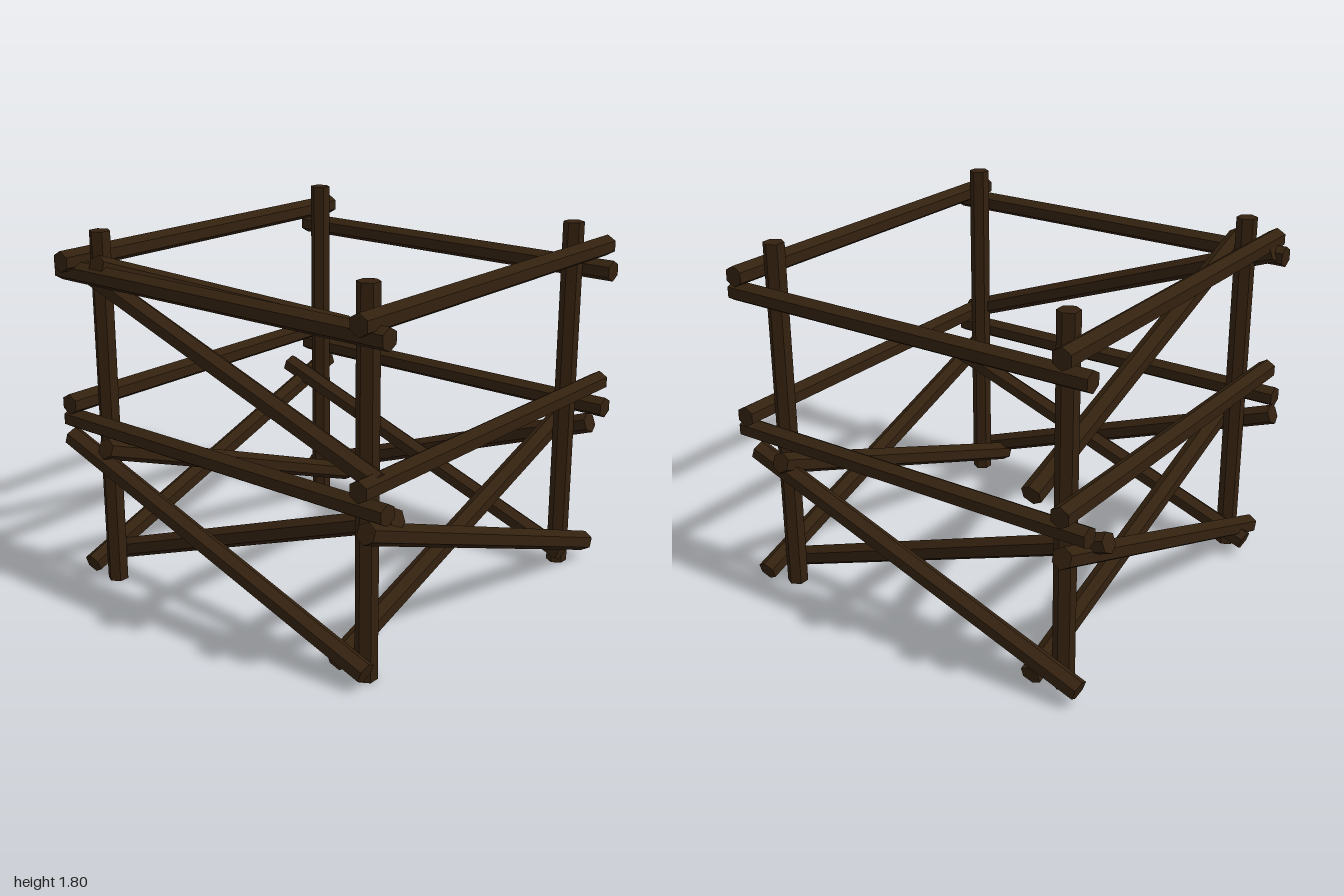
import * as THREE from 'three';

const RADIUS = 0.052;

export function createModel() {
  const model = new THREE.Group();
  model.name = 'logFrame';
  const wood = new THREE.MeshStandardMaterial({ color: 0x33210f, flatShading: true });

  // Six-sided log from a to b, with one ridge turned towards the given direction
  function log(name, a, b, ridge = [0, 1, 0]) {
    const start = new THREE.Vector3(...a);
    const end = new THREE.Vector3(...b);
    const axis = end.clone().sub(start);
    const length = axis.length();
    axis.normalize();
    const side = axis.clone().cross(new THREE.Vector3(...ridge)).normalize();
    const up = side.clone().cross(axis);
    const mesh = new THREE.Mesh(new THREE.CylinderGeometry(RADIUS, RADIUS, length, 6), wood);
    mesh.quaternion.setFromRotationMatrix(new THREE.Matrix4().makeBasis(side, axis, up));
    mesh.position.copy(start).add(end).multiplyScalar(0.5);
    mesh.name = name;
    model.add(mesh);
  }

  // Corner posts
  for (const x of [-0.815, 0.8])
    for (const z of [0.822, -0.797]) log('cornerPost', [x, 0, z], [x, 1.8, z], [1, 0, 0]);

  // Rails across the front and back
  for (const z of [0.91, -0.883])
    for (const y of [0.96, 1.665]) log('crossRail', [-0.99, y, z], [0.985, y, z]);

  // Rails along the two sides
  for (const [x, y] of [[-0.905, 0.855], [-0.905, 1.605], [0.897, 0.855], [0.897, 1.56]])
    log('sideRail', [x, y, 1], [x, y, -0.977]);

  // Lower crossed braces, front and back
  for (const z of [0.905, -0.705]) log('lowerBrace', [-0.93, 0.755, z], [0.93, 0.085, z]);
  for (const z of [0.725, -0.88]) log('lowerBrace', [-0.905, 0.085, z], [0.958, 0.755, z]);

  // Lower crossed braces, left and right sides
  for (const x of [-0.905, 0.73]) log('lowerSideBrace', [x, 0.085, 0.89], [x, 0.755, -0.973]);
  for (const x of [-0.725, 0.905]) log('lowerSideBrace', [x, 0.755, 0.915], [x, 0.085, -0.945]);

  // Single upper braces on the back and the right side
  log('upperBackBrace', [-0.925, 1.66, -0.705], [0.93, 0.99, -0.705]);
  log('upperSideBrace', [-0.865, 0.965, 0.92], [-0.865, 1.635, -0.935]);

  return model;
}
